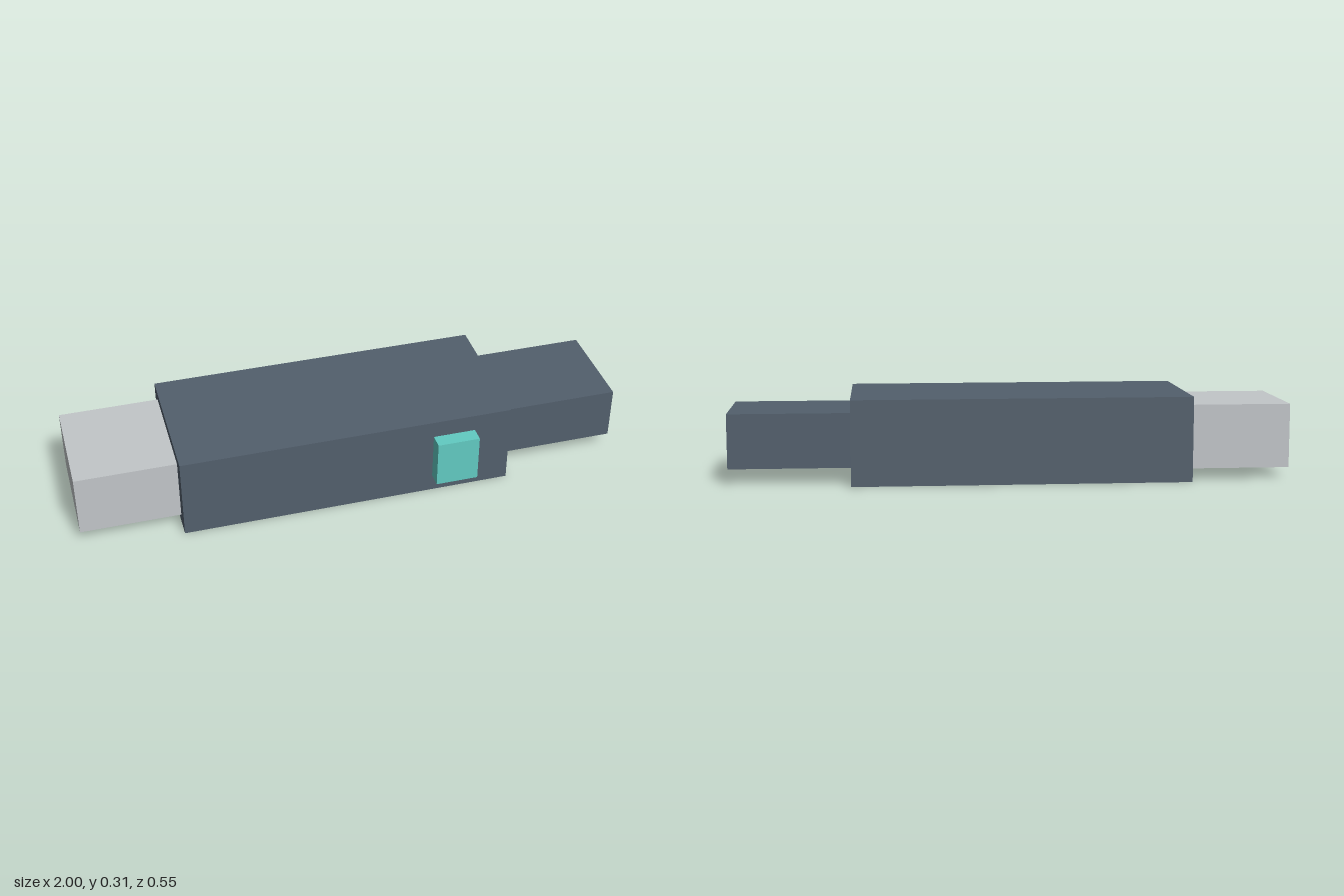
import * as THREE from 'three';

const material = (name, color) => {
  const m = new THREE.MeshStandardMaterial({ color });
  m.name = name;
  return m;
};

// Box given by its [min, max] extent on each axis
function block(name, mat, [x0, x1], [y0, y1], [z0, z1]) {
  const mesh = new THREE.Mesh(new THREE.BoxGeometry(x1 - x0, y1 - y0, z1 - z0), mat);
  mesh.name = name;
  mesh.position.set((x0 + x1) / 2, (y0 + y1) / 2, (z0 + z1) / 2);
  return mesh;
}

export function createModel() {
  const slate = material('slate', 0x525f6c);
  const silver = material('silver', 0xc2c6c9);
  const teal = material('teal', 0x62cbc2);

  const model = new THREE.Group();
  model.name = 'usbStick';
  model.add(
    // main casing
    block('body', slate, [-0.64, 0.567], [0, 0.305], [-0.277, 0.224]),
    // metal plug on the right end
    block('connector', silver, [-1, -0.64], [0.04, 0.27], [-0.225, 0.167]),
    // narrower tail on the left end
    block('tail', slate, [0.567, 1], [0.056, 0.251], [-0.204, 0.153]),
    // raised button on the front
    block('button', teal, [0.278, 0.433], [0.065, 0.242], [0.224, 0.277]),
  );
  return model;
}
